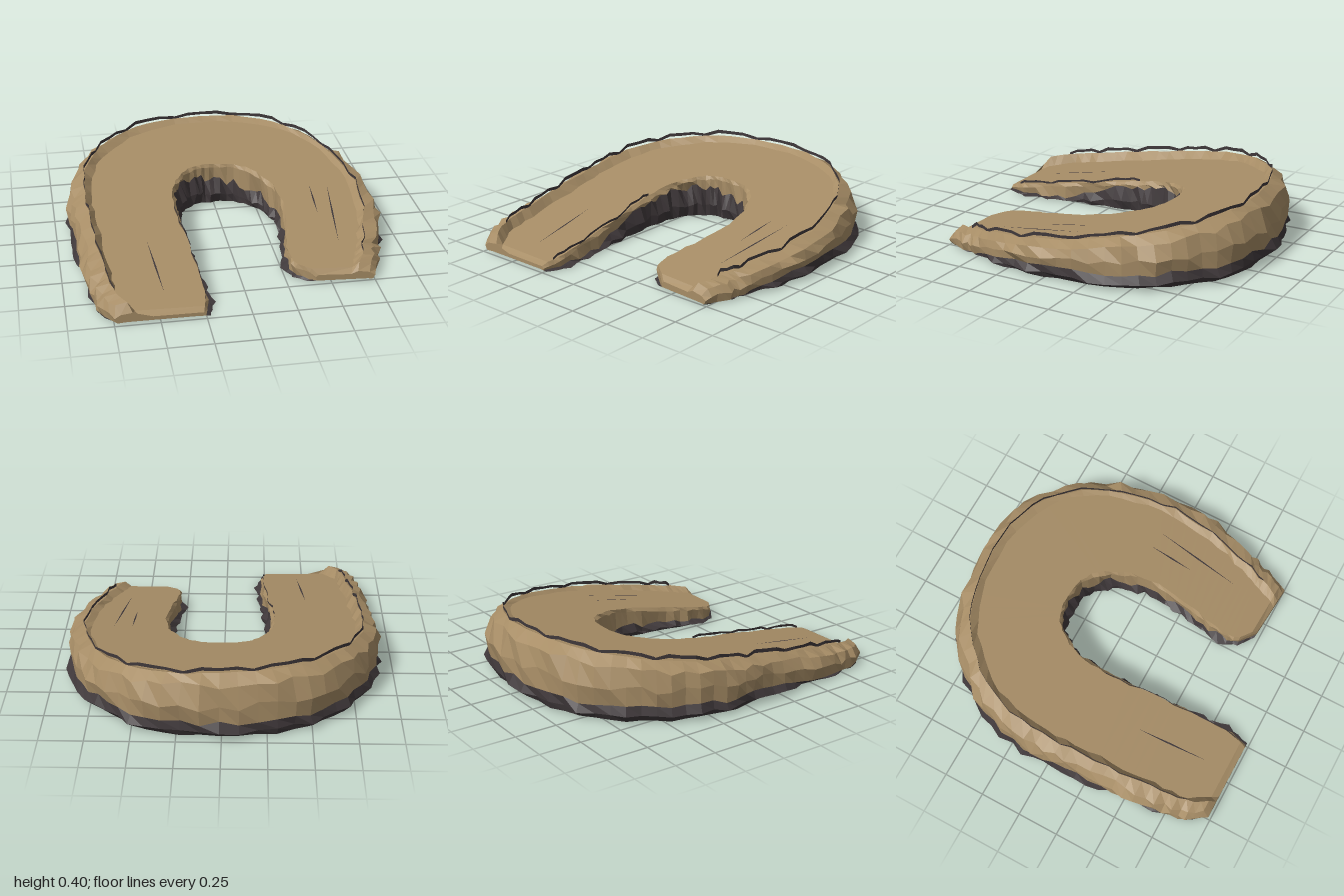
import * as THREE from 'three';

const STATIONS = 64;

// small seeded noise in -1..1
let seed = 7;
function noise() {
  seed = (seed * 16807) % 2147483647;
  return (seed / 2147483647) * 2 - 1;
}

// sloping heights of the outer crest and of the slightly sunken plateau inside it
const crestY = (x, z) => 0.238 - 0.15 * z - 0.035 * x;
const floorY = (x, z) => 0.205 - 0.165 * z - 0.02 * x;

// plan outlines of the horseshoe, from the long arm's tip round the back to the short arm's
const OUTER = [[-0.76, 0.985], [-0.85, 0.84], [-0.88, 0.65], [-0.90, 0.4], [-0.92, 0.1], [-0.93, -0.15],
  [-0.86, -0.45], [-0.69, -0.71], [-0.4, -0.91], [0, -0.985], [0.4, -0.93], [0.68, -0.74],
  [0.86, -0.45], [0.935, -0.1], [0.92, 0.25], [0.85, 0.5], [0.81, 0.62], [0.76, 0.755]];
const INNER = [[-0.23, 0.985], [-0.20, 0.85], [-0.215, 0.65], [-0.23, 0.42], [-0.26, 0.15], [-0.26, -0.02],
  [-0.23, -0.18], [-0.17, -0.27], [-0.09, -0.32], [0, -0.33], [0.14, -0.30], [0.24, -0.21],
  [0.30, -0.08], [0.32, 0.08], [0.30, 0.3], [0.27, 0.48], [0.275, 0.63], [0.39, 0.725]];

function outline(points) {
  return new THREE.CatmullRomCurve3(points.map(([x, z]) => new THREE.Vector3(x, 0, z)));
}

// cross-section rings: outer base, up the cliff, over the plateau, down the hollow
function makeRings() {
  const outer = outline(OUTER), inner = outline(INNER);
  const rings = [];
  for (let i = 0; i <= STATIONS; i++) {
    const t = i / STATIONS;
    const o = outer.getPoint(t), n = inner.getPoint(t);
    const d = n.clone().sub(o).normalize();
    const rough = THREE.MathUtils.smoothstep(Math.min(t, 1 - t), 0, 0.06);
    const back = THREE.MathUtils.smoothstep(0.6 - o.z, 0, 0.4);
    const at = (base, inset, y, j) => {
      const p = base.clone().addScaledVector(d, inset + noise() * j * rough);
      p.y = typeof y === 'function' ? y(p.x, p.z) : y;
      return p;
    };
    const crest = at(o, 0.11, crestY, 0.012);
    const lip = at(n, -0.035, floorY, 0.008);
    const h = 0.014 + (0.065 + noise() * 0.015 + Math.max(0, -o.z) * 0.025) * back;
    const up = (f, j) => h + (crest.y - h) * (f + noise() * j);
    const hollow = lip.y * THREE.MathUtils.clamp(0.2 + back * (0.42 - 0.75 * n.x) + noise() * 0.1, 0.15, 0.85);
    const ring = [
      at(o, 0.035, 0.012 + noise() * 0.005, 0.012),
      at(o, 0.03 - 0.03 * back, h * 0.5, 0.022),
      at(o, 0.022, h, 0.012),
      at(o, 0.012, up(0.42, 0.08), 0.018),
      at(o, 0.045, up(0.82, 0.06), 0.02),
      crest,
      at(o, 0.15, floorY, 0.01),
      lip,
      at(n, -0.022, lip.y - 0.02 + noise() * 0.006, 0.01),
      at(n, -0.025, hollow, 0.015),
      at(n, 0, hollow * 0.45, 0.022),
      at(n, -0.01, 0.01, 0.012),
    ];
    // the arm tips thin out to a blunt wedge
    if (i === 0 || i === STATIONS) ring.forEach((p) => { p.y = 0.01 + p.y * 0.55; });
    rings.push(ring);
  }
  return rings;
}

function facets(tris) {
  const g = new THREE.BufferGeometry().setFromPoints(tris);
  g.computeVertexNormals();
  return g;
}

// strip of quads joining neighbouring rows of every ring
function band(rings, from, to) {
  const tris = [];
  for (let i = 0; i < rings.length - 1; i++) {
    for (let r = from; r < to; r++) {
      const s = (r + 1) % rings[i].length;
      const a = rings[i][r], b = rings[i][s], c = rings[i + 1][s], d = rings[i + 1][r];
      tris.push(a, b, c, a, c, d);
    }
  }
  return facets(tris);
}

// closing face for one arm tip
function cap(ring, flip) {
  const mid = new THREE.Vector3();
  ring.forEach((p) => mid.addScaledVector(p, 1 / ring.length));
  const tris = [];
  ring.forEach((p, i) => {
    const q = ring[(i + 1) % ring.length];
    tris.push(mid, flip ? q : p, flip ? p : q);
  });
  return facets(tris);
}

// thin ragged slabs arching just clear of one row, each over a few stations
function shards(rings, row, from, to, span, height) {
  const tris = [];
  for (let i = from; i + span <= to; i += span) {
    const low = [], high = [];
    for (let k = 0; k <= span; k++) {
      const p = rings[i + k][row], end = k === 0 || k === span;
      const lift = height * (1 + noise() * 0.2);
      low.push(p.clone().setY(p.y + (end ? -0.004 : lift * 0.4)));
      high.push(p.clone().setY(p.y + (end ? lift * 0.45 : lift)));
    }
    for (let k = 0; k < span; k++) {
      tris.push(low[k], high[k], high[k + 1], low[k], high[k + 1], low[k + 1]);
    }
  }
  return facets(tris);
}

export function createModel() {
  seed = 7;
  const group = new THREE.Group();
  const earth = new THREE.MeshStandardMaterial({ color: 0xa78d66, flatShading: true });
  earth.name = 'tan earth';
  const rock = new THREE.MeshStandardMaterial({ color: 0x3f383a, flatShading: true, side: THREE.DoubleSide });
  rock.name = 'dark rock';
  const add = (name, geometry, material) => {
    const mesh = new THREE.Mesh(geometry, material);
    mesh.name = name;
    group.add(mesh);
  };

  const rings = makeRings();
  add('outerRockBase', band(rings, 0, 2), rock);
  add('outerCliff', band(rings, 2, 5), earth);
  add('plateau', band(rings, 5, 7), earth);
  add('innerLip', band(rings, 7, 9), earth);
  add('innerRockWall', band(rings, 9, 11), rock);
  add('underside', band(rings, 11, 12), earth);
  add('longArmTip', cap(rings[0], true), earth);
  add('shortArmTip', cap(rings[STATIONS], false), earth);

  // broken dark rims along the outer crest and the long arm's inner edge
  add('crestShards', shards(rings, 5, 4, 60, 4, 0.032), rock);
  add('innerEdgeShards', shards(rings, 7, 2, 17, 5, 0.022), rock);

  // thin cracks on the plateau
  const cracks = [];
  for (const [x0, z0, x1, z1] of [[-0.5, 0.37, -0.46, 0.82], [0.55, -0.08, 0.54, 0.2], [0.66, -0.08, 0.6, 0.48]]) {
    const on = (x, z) => new THREE.Vector3(x, floorY(x, z) + 0.003, z);
    const mx = (x0 + x1) / 2, mz = (z0 + z1) / 2;
    cracks.push(on(x0, z0), on(mx - 0.005, mz), on(mx + 0.005, mz));
    cracks.push(on(x1, z1), on(mx + 0.005, mz), on(mx - 0.005, mz));
  }
  add('plateauCracks', facets(cracks), rock);

  return group;
}
